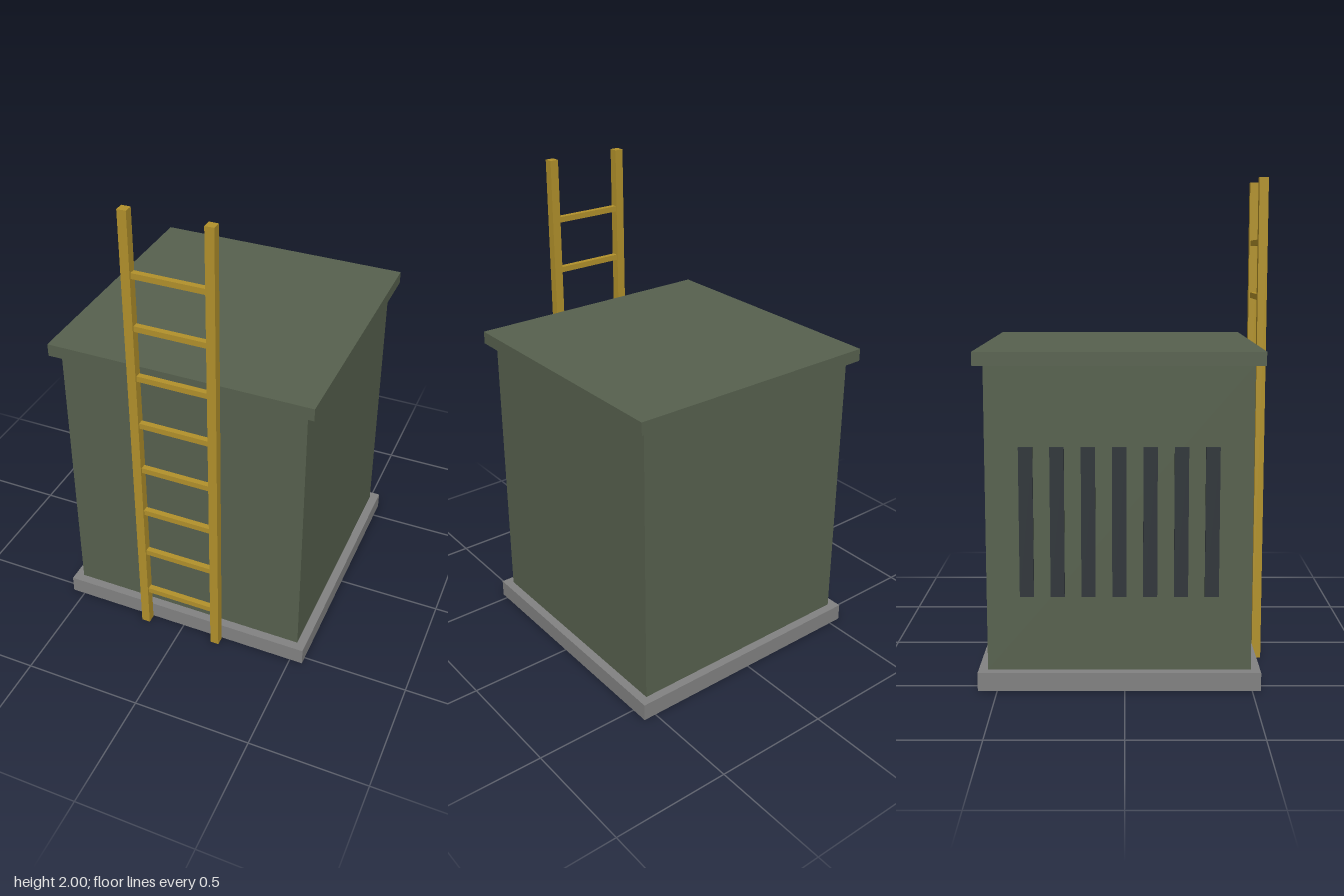
import * as THREE from 'three';

const material = (name, color) => {
  const m = new THREE.MeshStandardMaterial({ color });
  m.name = name;
  return m;
};

export function createModel() {
  const green = material('olive green', 0x57614e);
  const grey = material('concrete grey', 0x828282);
  const yellow = material('ladder yellow', 0xb2912b);
  const dark = material('vent dark', 0x30363a);

  const model = new THREE.Group();
  model.name = 'utilityCabinet';

  const box = (parent, name, mat, w, h, d, x, y, z) => {
    const mesh = new THREE.Mesh(new THREE.BoxGeometry(w, h, d), mat);
    mesh.name = name;
    mesh.position.set(x, y, z);
    parent.add(mesh);
  };

  // Cabinet: plinth, body and overhanging roof
  const cz = -0.021;
  box(model, 'plinth', grey, 1.11, 0.074, 1.11, 0, 0.037, cz);
  box(model, 'body', green, 1.036, 1.206, 1.036, 0, 0.677, cz);
  box(model, 'roof', green, 1.11, 0.053, 1.11, 0, 1.306, cz);

  // Row of upright vent slats on the right side
  const vents = new THREE.Group();
  vents.name = 'vents';
  model.add(vents);
  for (let i = -3; i <= 3; i++) {
    box(vents, 'ventSlat', dark, 0.022, 0.592, 0.055, -0.519, 0.669, cz + i * 0.12);
  }

  // Ladder standing against the front
  const ladder = new THREE.Group();
  ladder.name = 'ladder';
  model.add(ladder);
  for (const side of [-1, 1]) {
    box(ladder, 'rail', yellow, 0.037, 2, 0.037, side * 0.166, 1, 0.557);
  }
  for (let i = 0; i < 8; i++) {
    box(ladder, 'rung', yellow, 0.3, 0.024, 0.024, 0, 0.188 + i * 0.222, 0.556);
  }

  return model;
}
